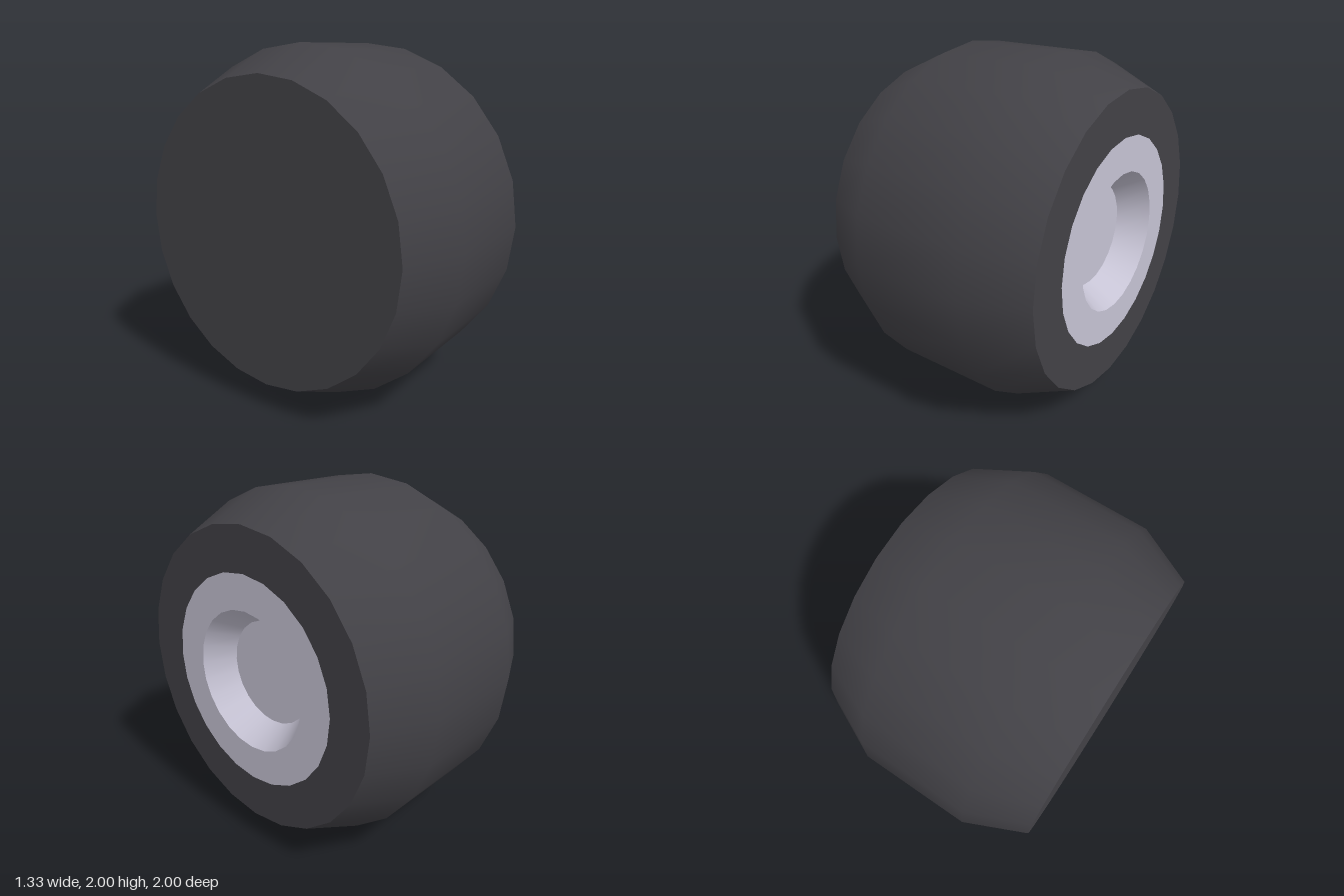
import * as THREE from 'three';

const SIDES = 24;
const HALF_WIDTH = 0.665;

export function createModel() {
  const rubber = new THREE.MeshStandardMaterial({ color: 0x424146 });
  rubber.name = 'darkRubber';
  const metal = new THREE.MeshStandardMaterial({ color: 0xc6c3d4 });
  metal.name = 'paleMetal';

  const wheel = new THREE.Group();
  wheel.name = 'wheel';

  // Spins a profile of [radius, x] points around the axle (x axis).
  // Each call is one smooth surface, so edges between calls stay sharp.
  function spin(name, material, profile) {
    const points = profile.map(([r, x]) => new THREE.Vector2(r, x));
    const geometry = new THREE.LatheGeometry(points, SIDES);
    geometry.rotateZ(-Math.PI / 2);
    const mesh = new THREE.Mesh(geometry, material);
    mesh.name = name;
    mesh.position.y = 1;
    wheel.add(mesh);
  }

  // Tyre: plain inner side, tread with sloped shoulders, outer sidewall
  spin('innerSide', rubber, [[0, -HALF_WIDTH], [0.85, -HALF_WIDTH]]);
  spin('tread', rubber, [[0.85, -HALF_WIDTH], [1, -0.33], [1, 0.33], [0.85, HALF_WIDTH]]);
  spin('outerSidewall', rubber, [[0.85, HALF_WIDTH], [0.6, HALF_WIDTH]]);

  // Hub: flat rim, tapered recess wall and recessed floor
  spin('rim', metal, [[0.6, HALF_WIDTH], [0.4, HALF_WIDTH]]);
  spin('recessWall', metal, [[0.4, HALF_WIDTH], [0.3, 0.5]]);
  spin('recessFloor', metal, [[0.3, 0.5], [0, 0.5]]);

  return wheel;
}
